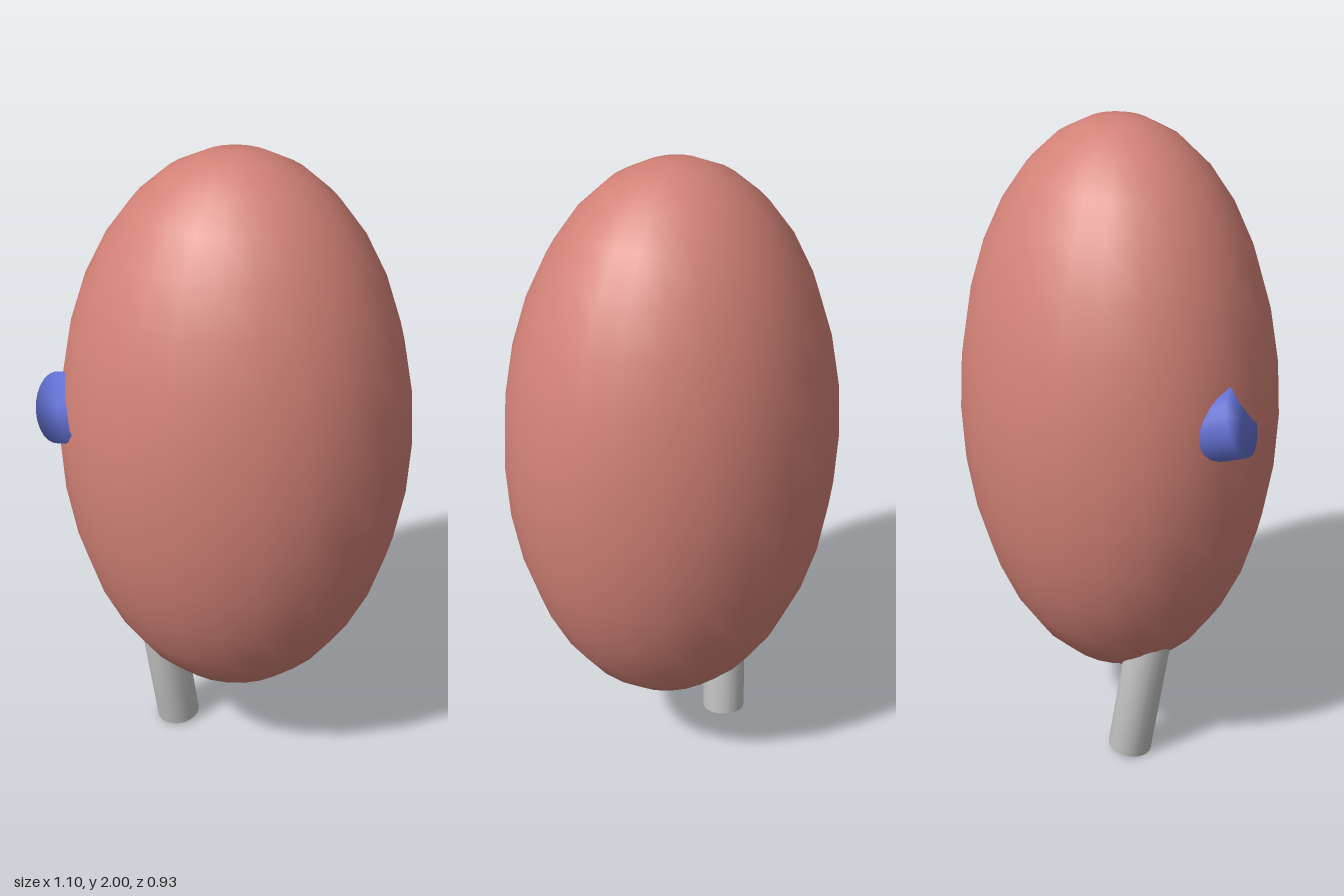
import * as THREE from 'three';

const paint = (name, color) => {
  const m = new THREE.MeshStandardMaterial({ color });
  m.name = name;
  return m;
};

// Solid rod running from `end` along `dir`, with softly shaded end caps
function rod(name, material, radius, length, sides, end, dir) {
  const profile = [[0, 0], [radius, 0], [radius, length], [0, length]]
    .map(([x, y]) => new THREE.Vector2(x, y));
  const mesh = new THREE.Mesh(new THREE.LatheGeometry(profile, sides), material);
  mesh.name = name;
  mesh.position.set(...end);
  mesh.quaternion.setFromUnitVectors(
    new THREE.Vector3(0, 1, 0), new THREE.Vector3(...dir).normalize());
  return mesh;
}

export function createModel() {
  const group = new THREE.Group();
  const clay = paint('clay red', 0xd38277);
  const grey = paint('light grey', 0xc6c6c6);
  const blue = paint('blue', 0x6674d8);

  // Egg-shaped body
  const body = new THREE.Mesh(new THREE.SphereGeometry(1, 24, 16), clay);
  body.name = 'body';
  body.scale.set(0.525, 0.877, 0.467);
  body.position.set(0.023, 1.123, 0);
  group.add(body);

  // Slanted leg, its upper end sunk into the body
  group.add(rod('leg', grey, 0.068, 0.6, 24, [-0.172, 0.01, -0.041], [-0.108, 1, 0.11]));

  // Round button set into the right side, facing outward and forward
  const outward = new THREE.Vector3(-0.645, 0.33, 0.684).normalize();
  const button = rod('button', blue, 0.105, 0.18, 24, [0, 0, 0], outward.toArray());
  button.position.set(-0.476, 1.253, 0.166).addScaledVector(outward, -0.18);
  group.add(button);

  return group;
}
